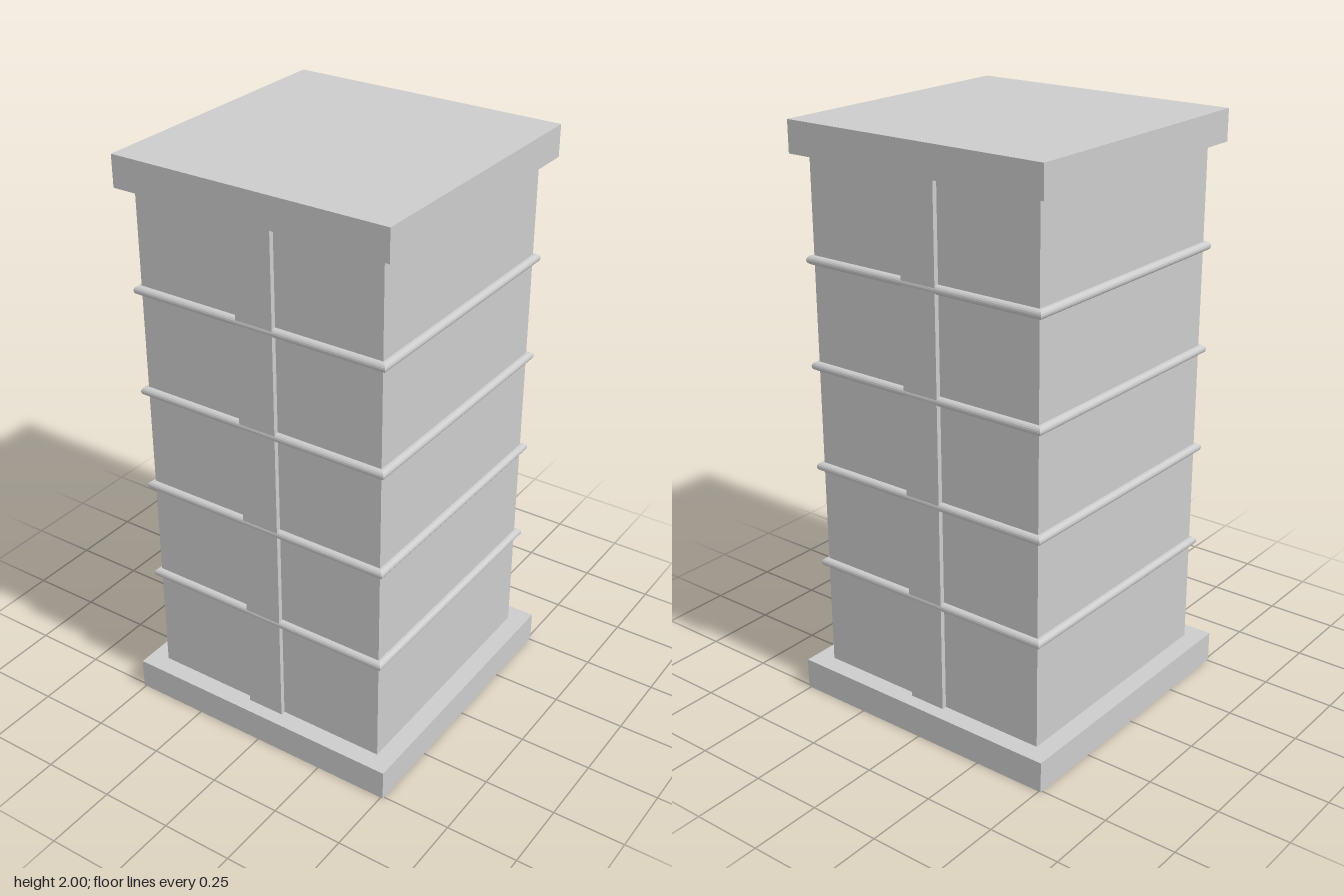
import * as THREE from 'three';

const grey = new THREE.MeshStandardMaterial({ color: 0xcccccc });
const greyFlat = new THREE.MeshStandardMaterial({ color: 0xcccccc, flatShading: true });

// Box standing between two heights
function block(name, width, depth, bottom, top, z = 0) {
  const mesh = new THREE.Mesh(new THREE.BoxGeometry(width, top - bottom, depth), grey);
  mesh.name = name;
  mesh.position.set(0, (bottom + top) / 2, z);
  return mesh;
}

// Square, mitred moulding with a half-round edge: a four-sided lathe
function bandGeometry(reach, radius, inner) {
  const profile = [new THREE.Vector2(inner, -radius)];
  const steps = 8;
  for (let i = 0; i <= steps; i++) {
    const a = -Math.PI / 2 + (Math.PI * i) / steps;
    profile.push(new THREE.Vector2(reach - radius + radius * Math.cos(a), radius * Math.sin(a)));
  }
  profile.push(new THREE.Vector2(inner, radius));
  profile.forEach((p) => { p.x *= Math.SQRT2; });
  return new THREE.LatheGeometry(profile, 4, Math.PI / 4);
}

export function createModel() {
  const tower = new THREE.Group();
  tower.name = 'tower';

  // Plinth, shaft and roof slab
  tower.add(block('base', 1.016, 1.016, 0, 0.108));
  tower.add(block('shaft', 0.886, 0.886, 0.108, 1.894));
  tower.add(block('cap', 0.974, 0.974, 1.894, 2));

  // Shallow vertical strips on the front and back
  for (const side of [1, -1]) {
    const strip = block('', 0.134, 0.03, 0.108, 1.894, side * 0.445);
    strip.name = side > 0 ? 'frontStrip' : 'backStrip';
    tower.add(strip);
  }

  // Floor bands wrapping the shaft
  const geometry = bandGeometry(0.462, 0.015, 0.43);
  for (let i = 0; i < 4; i++) {
    const band = new THREE.Mesh(geometry, greyFlat);
    band.name = `floorBand${i + 1}`;
    band.position.y = 0.486 + i * 0.356;
    tower.add(band);
  }
  return tower;
}
